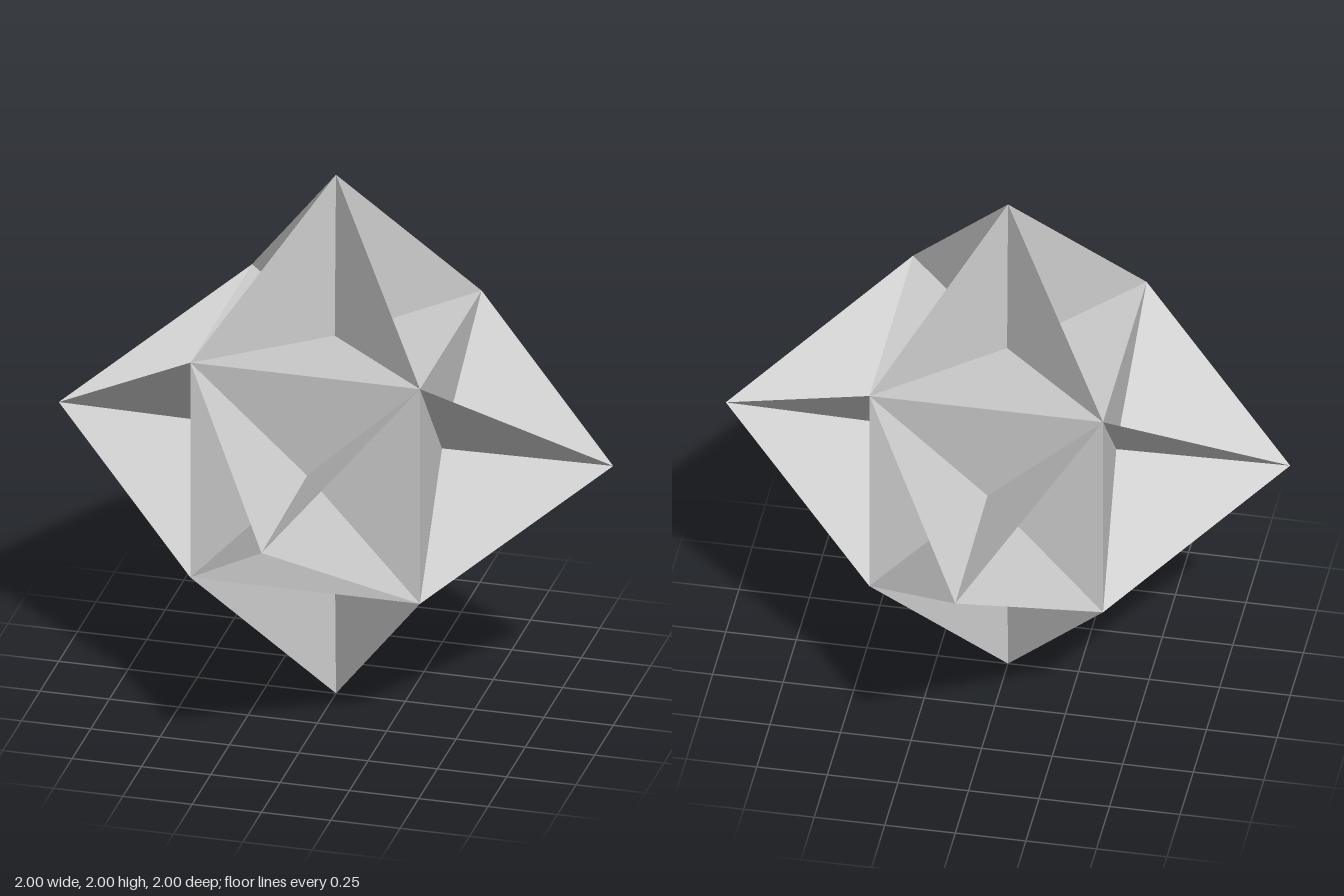
import * as THREE from 'three';

const C = 0.414;  // half size of the cube formed by the outer corners
const H = 0.387;  // height of the valley points above the centre
const E = 0.017;  // distance of the valley points from the spike axis

// One spike along +y: four thin fins meeting at the tip, with shallow triangles between them
function spikeGeometry() {
  const tip = new THREE.Vector3(0, 1, 0);
  const points = [];
  for (let i = 0; i < 4; i++) {
    const turn = (x, y, z) => new THREE.Vector3(x, y, z).applyAxisAngle(new THREE.Vector3(0, 1, 0), i * Math.PI / 2);
    const a = turn(-C, C, C), b = turn(C, C, C), valley = turn(0, H, E);
    points.push(a, b, valley);    // base triangle
    points.push(tip, a, valley);  // flank of the left fin
    points.push(tip, valley, b);  // flank of the right fin
  }
  const geometry = new THREE.BufferGeometry().setFromPoints(points);
  geometry.computeVertexNormals();
  return geometry;
}

export function createModel() {
  const model = new THREE.Group();
  model.name = 'starPolyhedron';
  const material = new THREE.MeshStandardMaterial({ color: 0xcccccc, flatShading: true });
  const geometry = spikeGeometry();

  // Six equal spikes close into one solid
  const q = Math.PI / 2;
  const spikes = {
    topSpike: [0, 0, 0], bottomSpike: [Math.PI, 0, 0],
    frontSpike: [q, 0, 0], backSpike: [-q, 0, 0],
    leftSpike: [0, 0, -q], rightSpike: [0, 0, q],
  };
  for (const [name, rotation] of Object.entries(spikes)) {
    const spike = new THREE.Mesh(geometry, material);
    spike.name = name;
    spike.rotation.set(...rotation);
    spike.position.y = 1;
    model.add(spike);
  }
  return model;
}
